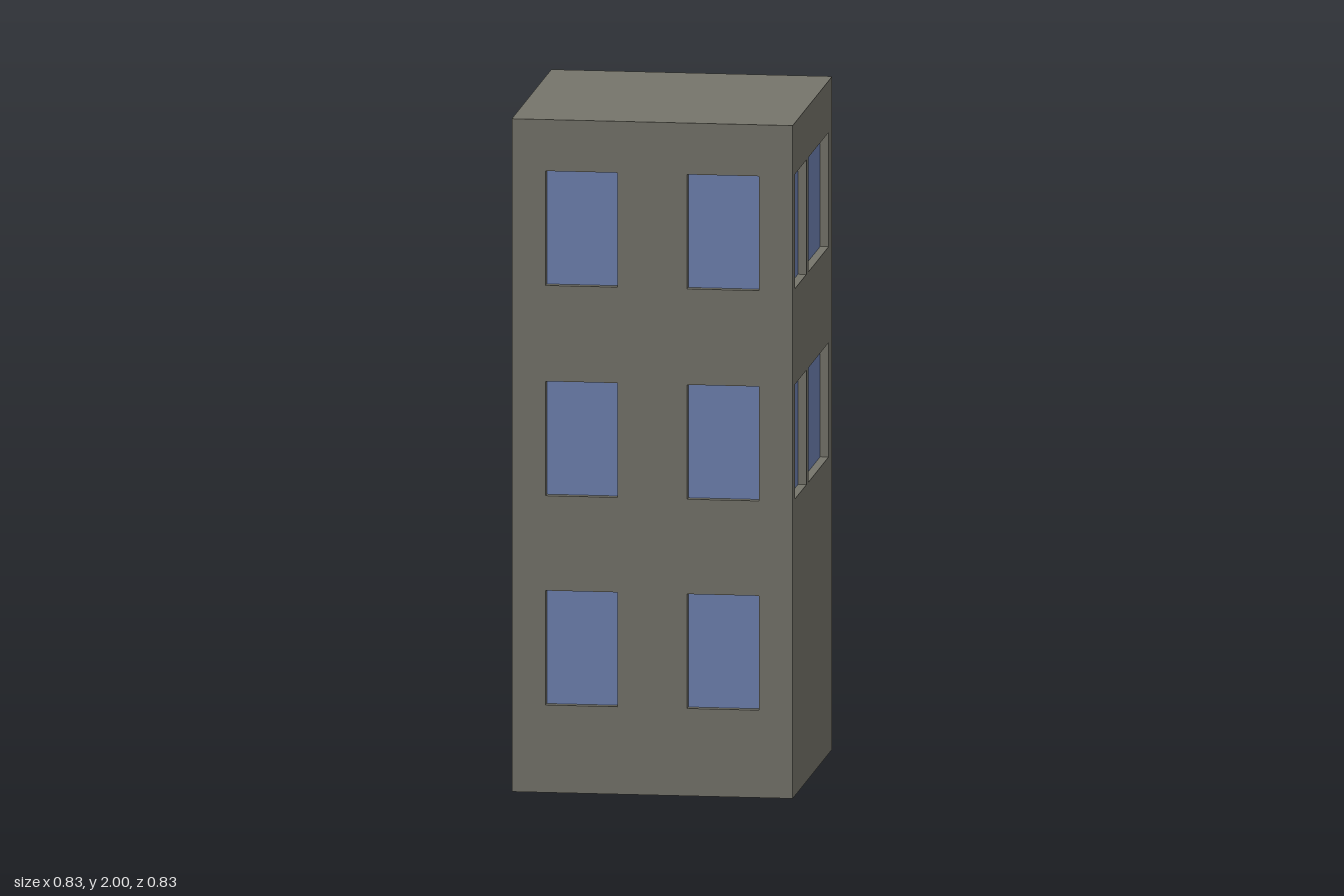
import * as THREE from 'three';

const SIZE = 0.83, HALF = SIZE / 2, HEIGHT = 2;
const WALL = 0.025;  // wall thickness, also the window recess
const SLAB = 0.02;   // roof and base thickness
const WINDOW_H = 0.34;
const [LOW, MID, TOP] = [0.26, 0.882, 1.507]; // window sill heights

function rect(PathType, x0, x1, y0, y1) {
  const p = new PathType();
  p.moveTo(x0, y0);
  p.lineTo(x1, y0);
  p.lineTo(x1, y1);
  p.lineTo(x0, y1);
  p.closePath();
  return p;
}

// One wall with window openings and recessed panes.
// Each window is [left, right, sill], measured along the wall as seen from outside.
function facade(name, angle, halfWidth, windows, mats) {
  const group = new THREE.Group();
  group.name = name;
  const shape = rect(THREE.Shape, -halfWidth, halfWidth, SLAB, HEIGHT - SLAB);
  for (const [x0, x1, y] of windows) shape.holes.push(rect(THREE.Path, x0, x1, y, y + WINDOW_H));
  const wall = new THREE.Mesh(
    new THREE.ExtrudeGeometry(shape, { depth: WALL, bevelEnabled: false }), mats.wall);
  wall.name = name + 'Wall';
  wall.position.z = HALF - WALL;
  group.add(wall);

  for (const [x0, x1, y] of windows) {
    const pane = new THREE.Mesh(new THREE.BoxGeometry(x1 - x0, WINDOW_H, 0.008), mats.glass);
    pane.name = name + 'WindowPane';
    pane.position.set((x0 + x1) / 2, y + WINDOW_H / 2, HALF - WALL - 0.004);
    group.add(pane);
  }
  group.rotation.y = angle;
  return group;
}

// Repeats a row of window spans at several sill heights
const rows = (spans, sills) => sills.flatMap(y => spans.map(([a, b]) => [a, b, y]));

export function createModel() {
  const mats = {
    wall: new THREE.MeshStandardMaterial({ name: 'greyWall', color: 0x76756b }),
    glass: new THREE.MeshStandardMaterial({ name: 'blueGlass', color: 0x6f83b3 }),
  };
  const model = new THREE.Group();
  model.name = 'towerBlock';

  // Front and back: three rows of paired windows
  const pair = [[-0.315, -0.103], [0.103, 0.315]];
  const paired = rows(pair, [LOW, MID, TOP]);
  model.add(facade('front', 0, HALF, paired, mats));
  model.add(facade('back', Math.PI, HALF, paired, mats));

  // Side at +x: narrow and wide windows on the upper floors, blank below
  model.add(facade('leftSide', Math.PI / 2, HALF - WALL,
    rows([[-0.365, -0.127], [-0.079, 0.341]], [MID, TOP]), mats));

  // Side at -x: narrow and wide below, narrow pairs above
  model.add(facade('rightSide', -Math.PI / 2, HALF - WALL, [
    ...rows([[-0.346, -0.108], [-0.06, 0.36]], [LOW]),
    ...rows([[-0.346, -0.134], [0.072, 0.284]], [MID, TOP]),
  ], mats));

  // Flat roof and base slabs
  for (const [name, y] of [['roof', HEIGHT - SLAB / 2], ['base', SLAB / 2]]) {
    const slab = new THREE.Mesh(new THREE.BoxGeometry(SIZE, SLAB, SIZE), mats.wall);
    slab.name = name;
    slab.position.y = y;
    model.add(slab);
  }
  return model;
}
